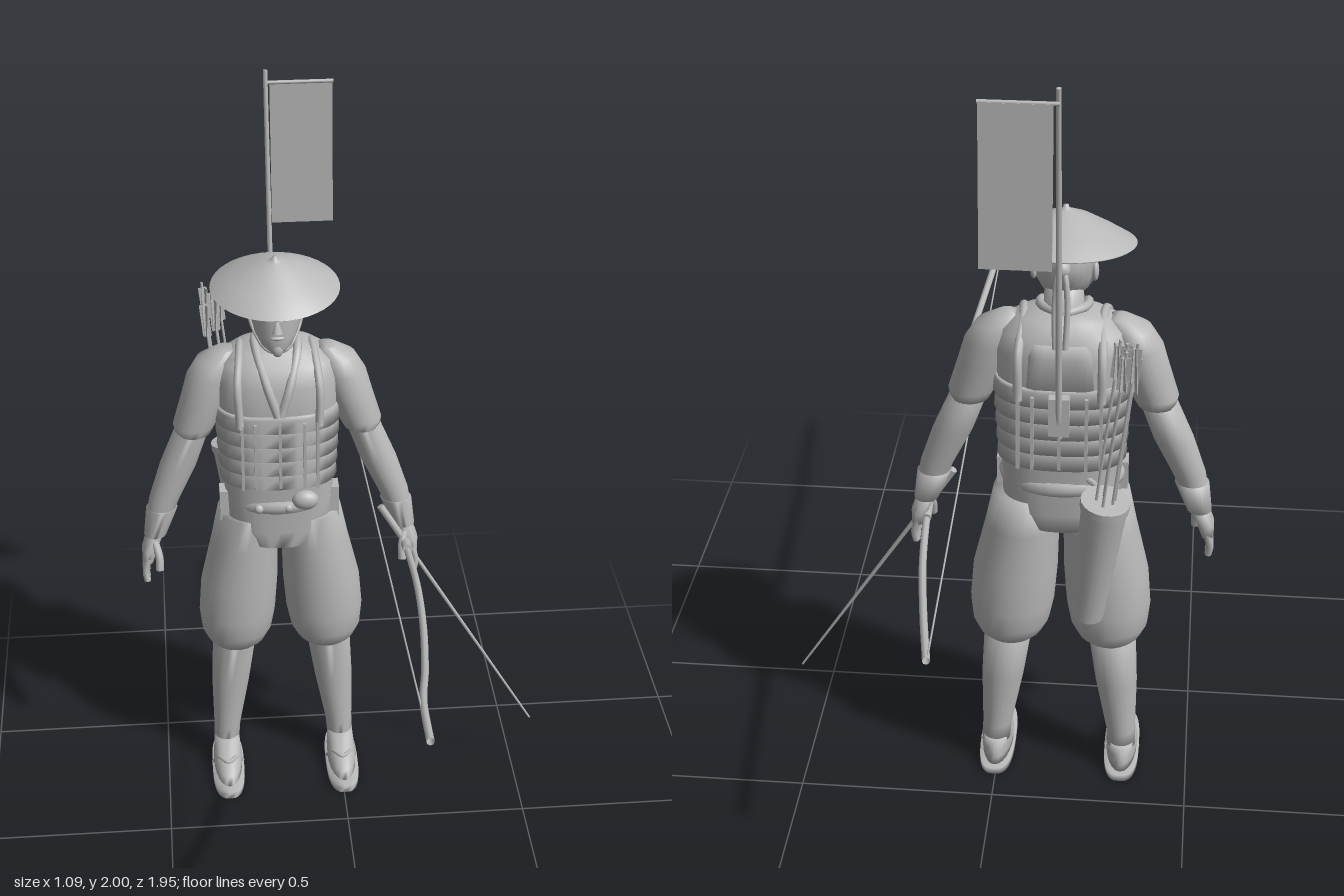
import * as THREE from 'three';

const grey = new THREE.MeshStandardMaterial({ color: 0xb8b8b8, side: THREE.DoubleSide });
grey.name = 'plainGrey';

const V = (x, y, z) => new THREE.Vector3(x, y, z);

function add(parent, name, geometry, x = 0, y = 0, z = 0) {
  const mesh = new THREE.Mesh(geometry, grey);
  mesh.name = name;
  mesh.position.set(x, y, z);
  parent.add(mesh);
  return mesh;
}

// Rounded body through level rings [y, x, z, radiusX, radiusZ], listed bottom to top; power > 2 squares it off
function loft(rings, power = 2, n = 24) {
  const pos = [], index = [];
  const bend = (t) => Math.sign(t) * Math.pow(Math.abs(t), 2 / power);
  for (const [y, x, z, rx, rz] of rings) {
    for (let i = 0; i < n; i++) {
      const a = (i / n) * Math.PI * 2;
      pos.push(x + rx * bend(Math.sin(a)), y, z + rz * bend(Math.cos(a)));
    }
  }
  for (let r = 0; r < rings.length - 1; r++) {
    for (let i = 0; i < n; i++) {
      const a = r * n + i, b = r * n + (i + 1) % n;
      index.push(a, b, b + n, a, b + n, a + n);
    }
  }
  const top = (rings.length - 1) * n;
  for (let i = 1; i < n - 1; i++) index.push(0, i + 1, i, top, top + i, top + i + 1);
  const g = new THREE.BufferGeometry();
  g.setAttribute('position', new THREE.Float32BufferAttribute(pos, 3));
  g.setIndex(index);
  g.computeVertexNormals();
  return g;
}

function rod(parent, name, a, b, r0, r1 = r0, sides = 10) {
  const d = b.clone().sub(a);
  const m = add(parent, name, new THREE.CylinderGeometry(r1, r0, d.length(), sides));
  m.position.copy(a).lerp(b, 0.5);
  m.quaternion.setFromUnitVectors(V(0, 1, 0), d.normalize());
  return m;
}

function tube(parent, name, points, r, segments = 20) {
  return add(parent, name, new THREE.TubeGeometry(new THREE.CatmullRomCurve3(points), segments, r, 8));
}

function ball(parent, name, x, y, z, sx, sy, sz) {
  const m = add(parent, name, new THREE.SphereGeometry(1, 16, 12), x, y, z);
  m.scale.set(sx, sy, sz);
  return m;
}

function buildTorso(body) {
  add(body, 'shirt', loft([
    [0.77, 0, -0.33, 0.095, 0.098], [0.82, 0, -0.333, 0.145, 0.103], [0.9, 0, -0.335, 0.148, 0.105],
    [0.97, 0, -0.335, 0.15, 0.112], [1.18, 0, -0.338, 0.162, 0.124], [1.26, 0, -0.342, 0.165, 0.12],
    [1.31, 0, -0.345, 0.15, 0.105], [1.34, 0, -0.348, 0.105, 0.075], [1.355, 0, -0.35, 0.05, 0.05]], 2.6, 32));
  // Overlapping rows of the body armour
  for (let i = 0; i < 5; i++) {
    const y = 0.965 + i * 0.044, w = 0.153 + i * 0.0025, d = 0.119 + i * 0.0025;
    add(body, 'armourRow', loft([[y, 0, -0.338, w + 0.007, d + 0.006], [y + 0.038, 0, -0.338, w + 0.004, d + 0.003],
      [y + 0.046, 0, -0.338, w, d]], 2.6, 32));
  }
  // Laces on the armour
  for (const x of [-0.1, -0.065, 0, 0.065, 0.1]) {
    for (const [z, tilt] of [[-0.212, 0.045], [-0.464, -0.045]]) {
      const m = add(body, 'armourLace', new THREE.BoxGeometry(0.008, 0.2, 0.012), x, 1.07, z);
      m.rotation.x = tilt;
    }
  }
  // Back plate and pole holder
  add(body, 'backPlate', loft([[1.17, 0, -0.42, 0.09, 0.045], [1.27, 0, -0.425, 0.08, 0.045], [1.3, 0, -0.42, 0.07, 0.035]], 4));
  add(body, 'poleHolder', new THREE.BoxGeometry(0.05, 0.1, 0.03), 0, 1.13, -0.48);
  // Sash with pouch and knots
  const sash = add(body, 'sash', new THREE.TorusGeometry(1, 0.1, 8, 40), 0, 0.9, -0.335);
  sash.rotation.x = Math.PI / 2;
  sash.scale.set(0.142, 0.106, 0.2);
  ball(body, 'pouch', 0.066, 0.925, -0.225, 0.036, 0.028, 0.024);
  for (const x of [-0.06, 0.02]) ball(body, 'sashKnot', x, 0.9, -0.228, 0.013, 0.013, 0.012);
  for (const s of [-1, 1]) {
    tube(body, 'shoulderStrap', [V(s * 0.105, 1.16, -0.21), V(s * 0.108, 1.27, -0.228), V(s * 0.1, 1.328, -0.29),
      V(s * 0.095, 1.335, -0.37), V(s * 0.1, 1.27, -0.462), V(s * 0.1, 1.16, -0.468)], 0.011);
    tube(body, 'collar', [V(s * 0.004, 1.19, -0.211), V(s * 0.03, 1.27, -0.226), V(s * 0.054, 1.345, -0.29),
      V(s * 0.052, 1.362, -0.36), V(0, 1.36, -0.402)], 0.012);
    add(body, 'hipTag', new THREE.BoxGeometry(0.03, 0.09, 0.05), s * 0.148, 0.88, -0.31);
  }
}

function buildHead(body) {
  add(body, 'neck', loft([[1.3, 0, -0.35, 0.058, 0.058], [1.34, 0, -0.348, 0.05, 0.053], [1.42, 0, -0.345, 0.046, 0.052]]));
  add(body, 'head', loft([[1.353, 0, -0.275, 0.018, 0.02], [1.37, 0, -0.288, 0.04, 0.042], [1.4, 0, -0.312, 0.058, 0.067],
    [1.44, 0, -0.331, 0.068, 0.086], [1.48, 0, -0.337, 0.072, 0.092], [1.52, 0, -0.338, 0.07, 0.088],
    [1.55, 0, -0.338, 0.055, 0.068], [1.565, 0, -0.338, 0.02, 0.03]]));
  const nose = add(body, 'nose', new THREE.ConeGeometry(0.014, 0.05, 8), 0, 1.445, -0.242);
  nose.rotation.x = -0.2;
  ball(body, 'mouth', 0, 1.402, -0.25, 0.02, 0.006, 0.01);
  ball(body, 'chinBeard', 0, 1.365, -0.255, 0.015, 0.02, 0.012);
  for (const s of [-1, 1]) {
    ball(body, 'ear', s * 0.073, 1.45, -0.345, 0.009, 0.026, 0.016);
    ball(body, 'eye', s * 0.027, 1.462, -0.257, 0.012, 0.006, 0.008);
    ball(body, 'eyebrow', s * 0.028, 1.48, -0.255, 0.017, 0.005, 0.008);
    tube(body, 'chinCord', [V(s * 0.075, 1.51, -0.33), V(s * 0.066, 1.42, -0.315), V(s * 0.03, 1.36, -0.275), V(0, 1.347, -0.27)], 0.005);
    tube(body, 'hairRibbon', [V(0, 1.5, -0.425), V(s * 0.01, 1.47, -0.445), V(s * 0.015, 1.4, -0.455), V(s * 0.012, 1.3, -0.468)], 0.007);
  }
  ball(body, 'hairKnot', 0, 1.49, -0.43, 0.02, 0.022, 0.02);
  // Wide conical hat, tipped to the front
  const hat = add(body, 'hat', new THREE.LatheGeometry([[0.165, -0.004], [0.17, 0], [0.12, 0.03], [0.06, 0.062], [0.02, 0.076],
    [0.008, 0.08], [0.006, 0.088], [0, 0.089]].map(([r, y]) => new THREE.Vector2(r, y)), 40), 0, 1.516, -0.325);
  hat.rotation.x = 0.12;
}

function buildArm(body, s) {
  add(body, 'sleeve', loft([[1.095, s * 0.228, -0.33, 0.048, 0.052], [1.12, s * 0.224, -0.33, 0.057, 0.06],
    [1.2, s * 0.195, -0.335, 0.062, 0.064], [1.26, s * 0.178, -0.34, 0.062, 0.066],
    [1.305, s * 0.16, -0.343, 0.052, 0.058], [1.333, s * 0.135, -0.345, 0.028, 0.03]]));
  add(body, 'forearm', loft([[0.79, s * 0.343, -0.312, 0.026, 0.03], [0.82, s * 0.337, -0.313, 0.031, 0.032],
    [0.9, s * 0.313, -0.318, 0.042, 0.038], [1.0, s * 0.272, -0.325, 0.05, 0.047], [1.12, s * 0.225, -0.33, 0.046, 0.047]]));
  add(body, 'wristGuard', loft([[0.79, s * 0.343, -0.312, 0.031, 0.036], [0.87, s * 0.322, -0.316, 0.043, 0.041]]));
  add(body, 'hand', loft([[0.715, s * 0.366, -0.303, 0.016, 0.036], [0.75, s * 0.36, -0.306, 0.022, 0.04],
    [0.8, s * 0.342, -0.312, 0.024, 0.028]], 2.5));
  for (let i = 0; i < 4; i++) {
    const z = -0.333 + i * 0.02, end = 0.65 + Math.abs(i - 1.5) * 0.009;
    tube(body, 'finger', [V(s * 0.364, 0.73, z), V(s * 0.374, 0.69, z + 0.004), V(s * 0.37, end, z + 0.008)], 0.009, 8);
  }
  tube(body, 'thumb', [V(s * 0.345, 0.775, -0.285), V(s * 0.335, 0.74, -0.262), V(s * 0.335, 0.705, -0.25)], 0.011, 8);
}

function buildLeg(body, s) {
  add(body, 'trouserLeg', loft([[0.405, s * 0.128, -0.335, 0.06, 0.055], [0.425, s * 0.127, -0.335, 0.08, 0.078],
    [0.46, s * 0.126, -0.335, 0.098, 0.094], [0.52, s * 0.123, -0.335, 0.107, 0.101], [0.62, s * 0.115, -0.335, 0.107, 0.102],
    [0.75, s * 0.098, -0.335, 0.093, 0.1], [0.85, s * 0.085, -0.335, 0.085, 0.095]]));
  add(body, 'shin', loft([[0.07, s * 0.166, -0.333, 0.037, 0.043], [0.12, s * 0.163, -0.333, 0.038, 0.042],
    [0.28, s * 0.148, -0.338, 0.054, 0.051], [0.43, s * 0.133, -0.335, 0.062, 0.054]]));
  add(body, 'foot', loft([[0.018, s * 0.166, -0.275, 0.04, 0.122], [0.04, s * 0.166, -0.282, 0.041, 0.115],
    [0.06, s * 0.166, -0.308, 0.038, 0.087], [0.085, s * 0.166, -0.332, 0.035, 0.05]]));
  add(body, 'sandalSole', loft([[0, s * 0.166, -0.267, 0.046, 0.147], [0.018, s * 0.166, -0.267, 0.046, 0.147]], 2.8, 32));
  tube(body, 'sandalStrap', [V(s * 0.166 - 0.042, 0.015, -0.28), V(s * 0.166 - 0.025, 0.055, -0.245),
    V(s * 0.166, 0.058, -0.215), V(s * 0.166 + 0.025, 0.055, -0.245), V(s * 0.166 + 0.042, 0.015, -0.28)], 0.006);
}

function buildBanner(root) {
  rod(root, 'bannerPole', V(-0.162, 1.07, -0.482), V(-0.162, 2, -0.606), 0.008, 0.006);
  rod(root, 'bannerCrossbar', V(-0.165, 1.965, -0.608), V(0.016, 1.965, -0.608), 0.005);
  add(root, 'banner', new THREE.BoxGeometry(0.165, 0.395, 0.003), -0.069, 1.767, -0.612);
}

function buildQuiver(root) {
  const base = V(-0.24, 0.585, -0.502), mouth = V(-0.28, 0.94, -0.545), tip = V(-0.33, 1.4, -0.6);
  rod(root, 'quiver', base, mouth, 0.04, 0.057, 20);
  rod(root, 'quiverRim', mouth.clone().lerp(base, 0.06), mouth, 0.06, 0.06, 20);
  for (let i = 0; i < 5; i++) {
    const a = i * Math.PI * 0.4, off = V(Math.cos(a) * 0.022, (i % 3) * -0.02, Math.sin(a) * 0.022);
    const end = tip.clone().add(off), start = mouth.clone().add(off);
    rod(root, 'arrowShaft', start, end, 0.004, 0.004, 6);
    // Three feathers on each arrow
    for (let k = 0; k < 3; k++) {
      const feather = add(root, 'arrowFeather', new THREE.BoxGeometry(0.024, 0.09, 0.002));
      feather.position.copy(start.lerp(end, k ? 1 : 0.87));
      start.copy(feather.position); end.copy(feather.position);
      feather.rotation.set(-0.12, k * Math.PI / 3, 0.1);
    }
  }
  tube(root, 'quiverCord', [V(-0.275, 0.9, -0.5), V(-0.26, 0.92, -0.46), V(-0.23, 0.93, -0.43)], 0.008, 8);
}

function buildWeapons(root) {
  const bow = [[0.097, 1, 0.975], [0.105, 0.965, 0.78], [0.14, 0.88, 0.53], [0.17, 0.82, 0.25], [0.184, 0.782, 0],
    [0.183, 0.745, -0.25], [0.168, 0.722, -0.5], [0.135, 0.735, -0.75], [0.1, 0.752, -0.97]].map((p) => V(...p));
  tube(root, 'bow', bow, 0.0095, 60);
  rod(root, 'bowGrip', V(0.184, 0.755, -0.22), V(0.181, 0.738, -0.34), 0.014);
  rod(root, 'bowString', V(0.096, 0.99, 0.93), V(0.098, 0.757, -0.96), 0.0025, 0.0025, 6);
  rod(root, 'blade', V(0.19, 0.735, -0.275), V(0.545, 0.17, -0.205), 0.006, 0.003, 8);
  rod(root, 'bladeHandle', V(0.115, 0.855, -0.29), V(0.195, 0.727, -0.274), 0.01);
}

export function createModel() {
  const root = new THREE.Group();
  root.name = 'archer';
  const body = new THREE.Group();
  body.name = 'body';
  body.position.x = -0.162;
  root.add(body);
  buildTorso(body);
  buildHead(body);
  for (const s of [-1, 1]) {
    buildArm(body, s);
    buildLeg(body, s);
  }
  buildBanner(root);
  buildQuiver(root);
  buildWeapons(root);
  return root;
}
